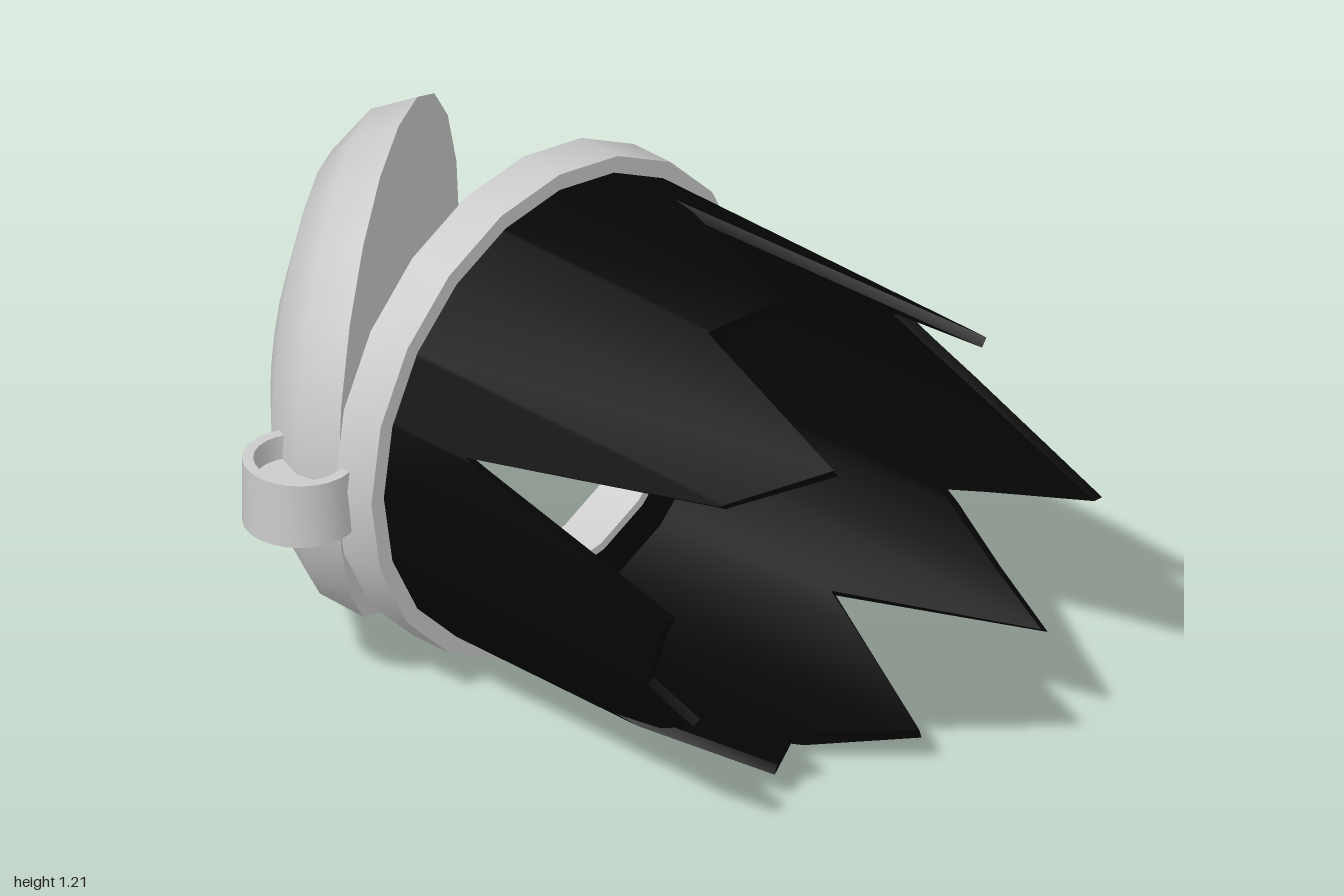
import * as THREE from 'three';
import { toCreasedNormals } from 'three/addons/utils/BufferGeometryUtils.js';

const SIDES = 20, CY = 0.605, CZ = -0.075;
const grey = new THREE.MeshStandardMaterial({ color: 0xcccccc });
const black = new THREE.MeshStandardMaterial({ color: 0x050505, side: THREE.DoubleSide });

function lathe(name, profile, segments, crease) {
  const geo = new THREE.LatheGeometry(profile.map(p => new THREE.Vector2(...p)), segments);
  const mesh = new THREE.Mesh(toCreasedNormals(geo, crease), grey);
  mesh.name = name;
  return mesh;
}

// Torn edge: [angle from the top towards the front in degrees, x of the edge]
const TORN = [
  [0, 0.515], [19, 0.46], [36, 1.0], [55, 0.77], [71, 0.04], [86, 0.7], [101, 0.64],
  [107, 0.615], [117, 0.72], [141, 0.34], [162, 0.66], [178, 0.56], [198, 0.78], [220, 0.33],
  [234, 0.9], [243, 0.71], [254, 0.5], [259, 0.64], [270, 0.965], [288, 0.59], [297, 0.5],
  [305, 0.43], [324, 0.83], [339, -0.02], [360, 0.515],
];

function edgeAt(deg) {
  const i = Math.max(1, TORN.findIndex(p => p[0] >= deg));
  const [a, xa] = TORN[i - 1], [b, xb] = TORN[i];
  return xa + (xb - xa) * (deg - a) / (b - a);
}

// Faceted tube wall with a thickness, cut off along the torn edge
function tornTube(outer, inner, x0) {
  const step = 360 / SIDES, rad = Math.PI / 180;
  const angles = new Set(TORN.map(p => p[0]));
  for (let i = 0; i <= SIDES; i++) angles.add(i * step);
  const sorted = [...angles].sort((a, b) => a - b);
  const pos = [], index = [];
  sorted.forEach((deg, i) => {
    // stay on the flat side of the polygon between its corners
    const flat = Math.cos(step / 2 * rad) / Math.cos((deg % step - step / 2) * rad);
    const y = flat * Math.cos(deg * rad), z = flat * Math.sin(deg * rad), x1 = edgeAt(deg);
    for (const [x, r] of [[x0, outer], [x1, outer], [x1, inner], [x0, inner]]) {
      pos.push(x, CY + r * y, CZ + r * z);
    }
    if (i === 0) return;
    // outer wall, torn rim, inner wall
    for (let k = 0; k < 3; k++) {
      const a = 4 * (i - 1) + k, b = a + 4;
      index.push(a, b, a + 1, a + 1, b, b + 1);
    }
  });
  const geo = new THREE.BufferGeometry();
  geo.setAttribute('position', new THREE.Float32BufferAttribute(pos, 3));
  geo.setIndex(index);
  return toCreasedNormals(geo, 0.6);
}

export function createModel() {
  const model = new THREE.Group();
  model.name = 'brokenPipeWithLid';

  // Collar around the mouth of the tube
  const collar = lathe('collar',
    [[0.43, -0.3], [0.605, -0.3], [0.605, -0.185], [0.43, -0.185], [0.43, -0.3]], SIDES, 0.6);
  collar.rotation.z = -Math.PI / 2;
  collar.position.set(0, CY, CZ);
  model.add(collar);

  // Torn tube and its inner base
  const tube = new THREE.Mesh(tornTube(0.565, 0.54, -0.185), black);
  tube.name = 'tornTube';
  model.add(tube);

  const base = new THREE.Mesh(new THREE.RingGeometry(0.445, 0.565, SIDES), black);
  base.name = 'tubeBase';
  base.rotation.y = Math.PI / 2;
  base.position.set(-0.18, CY, CZ);
  model.add(base);

  // Domed lid, swung open
  const lid = lathe('lid',
    [[0, 0], [0.595, 0], [0.555, 0.105], [0.45, 0.187], [0.227, 0.243], [0, 0.257]], SIDES, 1.2);
  lid.rotation.set(0, 0.543, Math.PI / 2);
  lid.position.set(-0.607, CY, 0.01);
  model.add(lid);

  // Hinge barrel with recessed ends
  const hinge = lathe('hinge',
    [[0, -0.02], [0.105, -0.02], [0.105, -0.08], [0.13, -0.08],
      [0.13, 0.08], [0.105, 0.08], [0.105, 0.02], [0, 0.02]], 24, 0.6);
  hinge.position.set(-0.387, 0.575, 0.553);
  model.add(hinge);

  return model;
}
